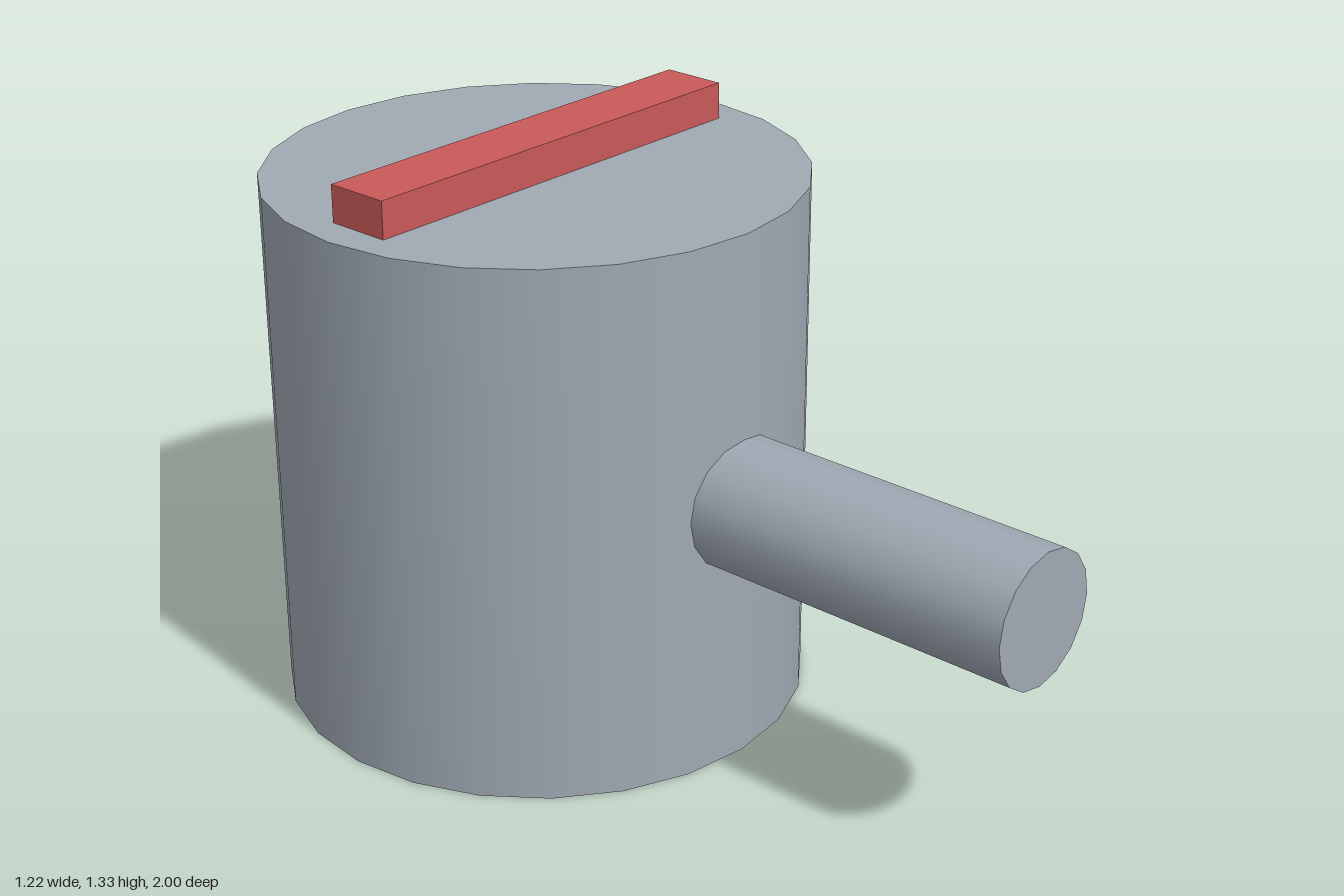
import * as THREE from 'three';

export function createModel() {
  const model = new THREE.Group();
  const steel = new THREE.MeshStandardMaterial({ color: 0xa0a9b4 });
  steel.name = 'steel grey';
  const red = new THREE.MeshStandardMaterial({ color: 0xc85a58 });
  red.name = 'muted red';

  const add = (name, geometry, material, x, y, z) => {
    const mesh = new THREE.Mesh(geometry, material);
    mesh.name = name;
    mesh.position.set(x, y, z);
    model.add(mesh);
    return mesh;
  };

  const bodyRadius = 0.61, bodyHeight = 1.245, bodyZ = -0.39;

  // Upright drum standing on the ground
  add('body', new THREE.CylinderGeometry(bodyRadius, bodyRadius, bodyHeight, 24), steel, 0, bodyHeight / 2, bodyZ);

  // Horizontal pipe running from inside the drum to the front
  const pipeBack = 0.15, pipeFront = 1;
  const pipe = new THREE.CylinderGeometry(0.153, 0.153, pipeFront - pipeBack, 16).rotateX(Math.PI / 2);
  add('pipe', pipe, steel, 0, bodyHeight / 2, (pipeFront + pipeBack) / 2);

  // Handle bar resting on the lid
  const barHeight = 0.085;
  add('handleBar', new THREE.BoxGeometry(1.054, barHeight, 0.153), red, 0, bodyHeight + barHeight / 2, bodyZ);

  return model;
}
